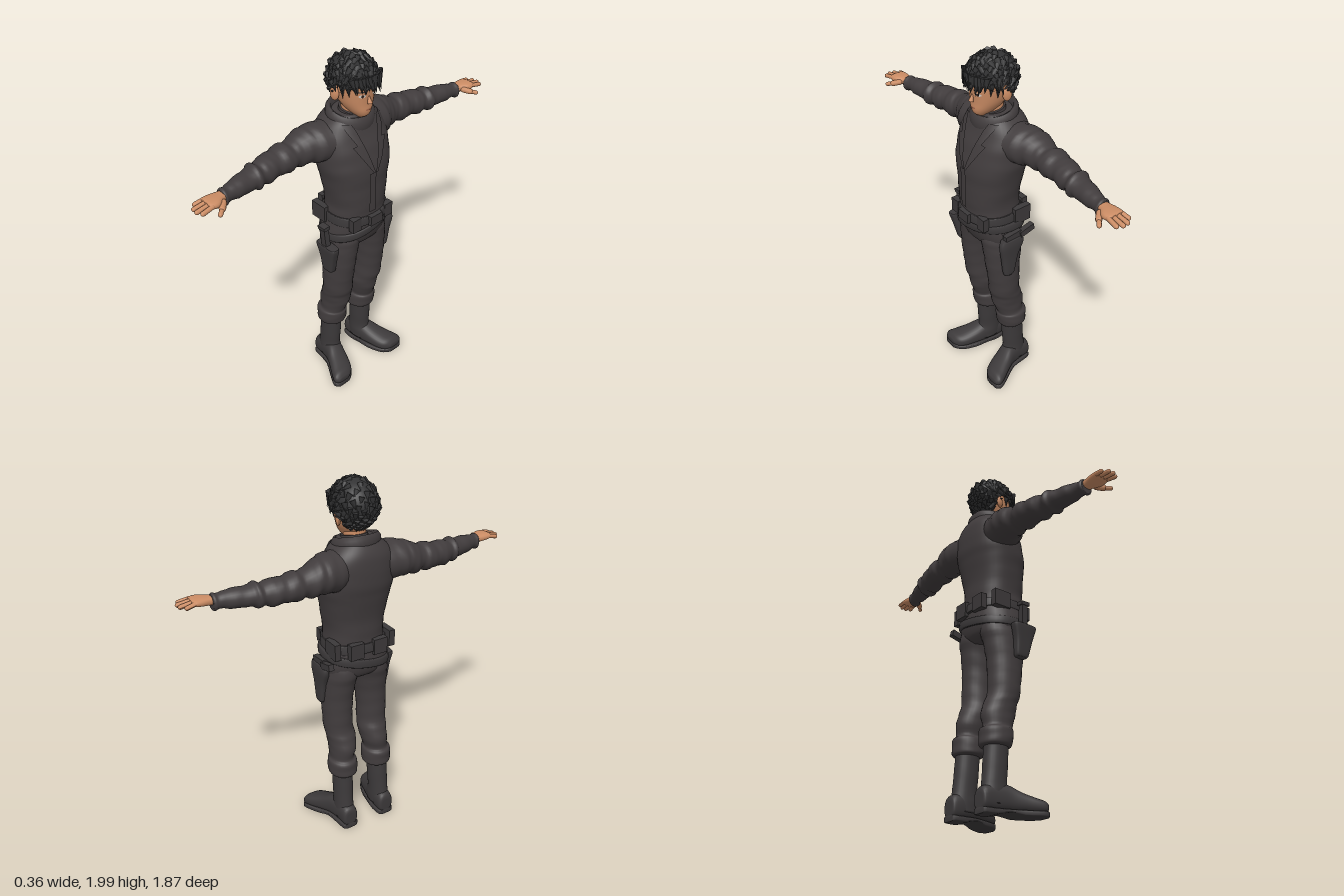
import * as THREE from 'three';
import { mergeGeometries } from 'three/addons/utils/BufferGeometryUtils.js';

const V = (x, y, z) => new THREE.Vector3(x, y, z);
const mat = (name, color) => {
  const m = new THREE.MeshStandardMaterial({ color, side: THREE.DoubleSide });
  m.name = name;
  return m;
};

// Catmull-Rom resampling of cross-section rows
function smooth(rows, steps) {
  const out = [], n = rows.length;
  for (let i = 0; i < n - 1; i++) {
    const [a, b, c, d] = [rows[Math.max(i - 1, 0)], rows[i], rows[i + 1], rows[Math.min(i + 2, n - 1)]];
    for (let s = 0; s < steps; s++) {
      const t = s / steps;
      out.push(b.map((v, k) => v + 0.5 * t * (c[k] - a[k] + t * (2 * a[k] - 5 * v + 4 * c[k] - d[k] + t * (3 * (v - c[k]) + d[k] - a[k])))));
    }
  }
  out.push(rows[n - 1]);
  return out;
}

// Closed body through rows [position, min1, max1, min2, max2] along an axis;
// ranges are (x,z) for y, (x,y) for z, (y,z) for x
function loft(axis, rows, { steps = 4, seg = 28, pow = 2, fold = 0, freq = 60 } = {}) {
  const rings = smooth(rows, steps), pos = [], idx = [];
  const put = (t, p, q) => pos.push(...(axis === 'y' ? [p, t, q] : axis === 'z' ? [p, q, t] : [t, p, q]));
  const sp = v => Math.sign(v) * Math.abs(v) ** (2 / pow);
  for (const [t, p0, p1, q0, q1] of rings) {
    for (let j = 0; j < seg; j++) {
      const a = j / seg * Math.PI * 2;
      const k = 1 + fold * (Math.sin(t * freq + 2 * Math.sin(a)) + 0.6 * Math.sin(t * freq * 1.7 + 3 * Math.cos(a + 1)));
      const [c, s] = axis === 'y' ? [Math.sin(a), Math.cos(a)] : [Math.cos(a), Math.sin(a)];
      put(t, (p0 + p1) / 2 + (p1 - p0) / 2 * sp(c) * k, (q0 + q1) / 2 + (q1 - q0) / 2 * sp(s) * k);
    }
  }
  for (let i = 0; i < rings.length - 1; i++) for (let j = 0; j < seg; j++) {
    const a = i * seg + j, b = i * seg + (j + 1) % seg;
    idx.push(a, b, b + seg, a, b + seg, a + seg);
  }
  const last = (rings.length - 1) * seg, base = pos.length / 3;
  for (const r of [rings[0], rings[rings.length - 1]]) put(r[0], (r[1] + r[2]) / 2, (r[3] + r[4]) / 2);
  for (let j = 0; j < seg; j++) {
    const k = (j + 1) % seg;
    idx.push(base, k, j, base + 1, last + j, last + k);
  }
  const g = new THREE.BufferGeometry();
  g.setAttribute('position', new THREE.Float32BufferAttribute(pos, 3));
  g.setIndex(idx);
  g.computeVertexNormals();
  return g;
}

// Thin panel lying on the forward side of a y loft; outline rows are [y, z0, z1]
function panel(body, outline, off, pow = 2) {
  const b = smooth(body, 4), n = 6, pos = [], idx = [];
  outline.forEach(([y, z0, z1], r) => {
    let i = 0;
    while (i < b.length - 2 && b[i + 1][0] < y) i++;
    const t = (y - b[i][0]) / (b[i + 1][0] - b[i][0]);
    const [, x0, x1, q0, q1] = b[i].map((v, k) => v + (b[i + 1][k] - v) * t);
    for (let j = 0; j <= n; j++) {
      const z = z0 + (z1 - z0) * j / n, u = Math.min(Math.abs(2 * z / (q1 - q0)), 1);
      pos.push((x0 + x1) / 2 + (x1 - x0) / 2 * (1 - u ** pow) ** (1 / pow) + off, y, z);
      const a = r * (n + 1) + j;
      if (r && j) idx.push(a, a - 1, a - n - 2, a, a - n - 2, a - n - 1);
    }
  });
  const g = new THREE.BufferGeometry();
  g.setAttribute('position', new THREE.Float32BufferAttribute(pos, 3));
  g.setIndex(idx);
  g.computeVertexNormals();
  return g;
}

function mirrorZ(geo) {
  const g = geo.clone().scale(1, 1, -1), a = g.index.array;
  for (let i = 0; i < a.length; i += 3) [a[i], a[i + 1]] = [a[i + 1], a[i]];
  g.computeVertexNormals();
  return g;
}

const aim = (g, from, to) => g.applyQuaternion(new THREE.Quaternion().setFromUnitVectors(V(0, 1, 0), to.clone().sub(from).normalize()))
  .translate((from.x + to.x) / 2, (from.y + to.y) / 2, (from.z + to.z) / 2);
const finger = (a, b, r) => aim(new THREE.CapsuleGeometry(r, a.distanceTo(b) - r, 4, 10), a, b);
const lock = (a, b, r) => aim(new THREE.ConeGeometry(r, a.distanceTo(b), 6), a, b);
const box = (w, h, d, x, y, z, rz = 0, rx = 0) => new THREE.BoxGeometry(w, h, d).rotateZ(rz).rotateX(rx).translate(x, y, z);
const skew = (g, kx, kz) => {
  const p = g.attributes.position;
  for (let i = 0; i < p.count; i++) p.setY(i, p.getY(i) + kx * p.getX(i) + kz * p.getZ(i));
  g.computeVertexNormals();
  return g;
};

export function createModel() {
  const model = new THREE.Group();
  const cloth = mat('charcoal cloth', 0x413c3d), leather = mat('dark leather', 0x3c393a);
  const hairMat = mat('black hair', 0x333334), skin = mat('skin', 0xcb8c64);
  const lip = mat('lip', 0xa3644a), white = mat('eye white', 0xd8d0c8), dark = mat('iris', 0x2b1d18);
  const add = (name, geo, m) => {
    const mesh = new THREE.Mesh(geo, m);
    mesh.name = name;
    model.add(mesh);
  };
  const both = (name, geo, m) => {
    add('right' + name, geo, m);
    add('left' + name, mirrorZ(geo), m);
  };

  // Jacket body, lapels and closure
  const torso = [[1.09, -.14, .15, -.163, .163], [1.15, -.135, .152, -.16, .16], [1.2, -.135, .155, -.158, .158],
    [1.3, -.14, .155, -.172, .172], [1.4, -.16, .155, -.192, .192], [1.46, -.17, .145, -.2, .2], [1.53, -.175, .125, -.2, .2],
    [1.6, -.17, .098, -.185, .185], [1.65, -.155, .08, -.15, .15], [1.69, -.13, .06, -.1, .1]];
  add('jacketBody', loft('y', torso, { pow: 2.3, seg: 40, fold: .006, freq: 45 }), cloth);
  both('Lapel', panel(torso, [[1.4, .0, .012], [1.46, .018, .05], [1.52, .035, .085], [1.555, .045, .105], [1.56, .047, .08], [1.62, .065, .11], [1.66, .08, .12]], .013, 2.3), cloth);
  add('frontFlap', panel(torso, [1.17, 1.22, 1.28, 1.34, 1.4].map(y => [y, -.005, .035]), .008, 2.3), cloth);

  // Folded collar, higher at the nape, and inner neck
  const collar = [[.13, 1.61], [.14, 1.645], [.137, 1.675], [.122, 1.697], [.108, 1.692], [.1, 1.66], [.1, 1.61]].map(p => new THREE.Vector2(...p));
  add('collar', skew(new THREE.LatheGeometry(collar, 36).scale(.84, 1, .93).translate(-.022, 0, 0), -.25, 0), cloth);
  add('neckSweater', skew(new THREE.CylinderGeometry(.068, .092, .12, 24).translate(-.005, 1.64, 0), -.2, 0), cloth);
  add('neck', new THREE.CylinderGeometry(.055, .058, .1, 20).translate(-.01, 1.7, 0), skin);

  // Sleeves with gathered folds
  both('Sleeve', loft('z', [[.1, -.15, .07, 1.44, 1.655], [.2, -.17, .05, 1.45, 1.65], [.25, -.17, .02, 1.46, 1.64],
    [.3, -.165, 0, 1.455, 1.622], [.34, -.15, -.008, 1.465, 1.6], [.38, -.16, .002, 1.455, 1.605], [.44, -.148, -.008, 1.463, 1.59],
    [.5, -.14, .002, 1.453, 1.59], [.54, -.122, -.002, 1.465, 1.575], [.57, -.128, .018, 1.458, 1.588], [.6, -.108, .008, 1.47, 1.573],
    [.68, -.085, .014, 1.473, 1.57], [.74, -.062, .012, 1.483, 1.558], [.765, -.062, .022, 1.475, 1.562], [.775, -.055, .016, 1.482, 1.555]],
  { fold: .022, freq: 95, steps: 5 }), cloth);

  // Hands
  const hand = [loft('z', [[.74, -.045, .01, 1.5, 1.55], [.78, -.045, .018, 1.507, 1.55], [.82, -.05, .045, 1.51, 1.553], [.855, -.05, .046, 1.516, 1.552], [.868, -.044, .04, 1.522, 1.546]], { pow: 2.5, seg: 20 })];
  [[-.038, .903], [-.013, .925], [.012, .928], [.036, .915]].forEach(([x, z]) =>
    hand.push(finger(V(x, 1.536, .85), V(x * 1.15, 1.525, z), .0115)));
  hand.push(finger(V(.022, 1.527, .79), V(.06, 1.515, .825), .016), finger(V(.055, 1.517, .82), V(.08, 1.508, .85), .0115));
  both('Hand', mergeGeometries(hand.map(g => { g.deleteAttribute('uv'); return g; })), skin);

  // Trousers
  add('hips', loft('y', [[.93, -.09, .085, -.1, .1], [.96, -.125, .115, -.175, .175], [1.02, -.142, .138, -.187, .187], [1.08, -.14, .15, -.175, .175], [1.12, -.135, .148, -.165, .165]], { pow: 2.3 }), cloth);
  both('TrouserLeg', loft('y', [[.335, -.135, .005, .045, .175], [.345, -.15, .015, .03, .19], [.38, -.15, .025, .03, .192], [.42, -.148, .03, .032, .19],
    [.44, -.132, .025, .045, .176], [.5, -.137, .05, .03, .176], [.56, -.12, .06, .022, .18], [.61, -.1, .075, .026, .187], [.7, -.098, .086, .028, .19],
    [.8, -.1, .1, .022, .19], [.9, -.115, .11, .008, .19], [.97, -.13, .118, -.005, .185], [1.02, -.12, .11, .01, .17]], { fold: .012, freq: 70 }), cloth);

  // Boots, toes turned out
  both('BootShaft', loft('y', [[.05, -.158, .01, .068, .172], [.1, -.157, .005, .065, .172], [.15, -.147, -.012, .066, .17], [.25, -.138, -.005, .062, .17], [.36, -.13, 0, .06, .17]], { fold: .006 }), leather);
  const foot = [[-.172, .03, .1, .09, .15], [-.16, .012, .13, .075, .165], [-.1, .01, .15, .07, .172], [-.03, .015, .152, .075, .188],
    [.03, .015, .122, .09, .217], [.09, .012, .098, .11, .25], [.13, .014, .084, .135, .264], [.152, .03, .06, .17, .245]];
  both('BootFoot', loft('x', foot, { pow: 2.4 }), leather);
  both('BootSole', loft('x', foot.map(([x, , , a, b]) => [x, x > -.06 && x < .02 ? .013 : 0, .03, a - .003, b + .003]), { pow: 5, steps: 2 }), leather);

  // Belt, slung strap, buckle and pouches
  add('belt', loft('y', [[1.095, -.146, .16, -.17, .17], [1.1, -.15, .164, -.173, .173], [1.14, -.146, .163, -.17, .17], [1.145, -.142, .158, -.166, .166]], { pow: 2.3, seg: 40, steps: 2 }), leather);
  add('slungStrap', skew(loft('y', [[1.02, -.148, .148, -.186, .186], [1.025, -.155, .155, -.192, .192], [1.06, -.155, .158, -.19, .19], [1.065, -.148, .15, -.182, .182]], { pow: 2.3, seg: 40, steps: 2 }), .08, -.18), leather);
  add('buckle', box(.02, .055, .08, .17, 1.12, .0), leather);
  for (const s of [-1, 1]) {
    add('hipPouch', box(.1, .09, .035, -.07, 1.125, s * .165, 0, 0), leather);
    add('frontPouch', box(.035, .075, .055, .135, 1.115, s * .11), leather);
    add('backPouch', box(.035, .085, .08, -.14, 1.12, s * .07), leather);
  }

  // Right holster with upright grip
  add('rightHolster', loft('y', [[.805, .0, .06, .185, .218], [.82, -.008, .07, .182, .225], [.9, -.015, .09, .185, .235], [.97, -.032, .11, .187, .245], [.985, -.03, .108, .19, .242]], { pow: 4 }), leather);
  add('rightGrip', box(.036, .13, .03, .03, 1.04, .225, .03, .08), leather);
  add('rightGripCap', box(.052, .02, .038, .028, 1.1, .23, .03, .08), leather);

  // Left holster with grip pointing back
  add('leftHolster', loft('y', [[.78, .0, .05, -.205, -.175], [.8, -.01, .06, -.21, -.172], [.9, -.03, .075, -.215, -.17], [.98, -.06, .09, -.222, -.172], [1.02, -.05, .08, -.218, -.172]], { pow: 3 }), leather);
  add('leftGunFrame', box(.1, .045, .03, .01, 1.03, -.197, -.1), leather);
  add('leftGrip', box(.09, .035, .03, -.075, 1.04, -.205, -.25), leather);

  // Head and face
  const head = [[1.676, .02, .078, -.025, .025], [1.69, -.01, .097, -.038, .038], [1.715, -.05, .106, -.058, .058], [1.75, -.08, .106, -.077, .077],
    [1.79, -.1, .109, -.088, .088], [1.83, -.11, .113, -.093, .093], [1.88, -.11, .113, -.095, .095], [1.93, -.09, .09, -.075, .075], [1.95, -.05, .05, -.04, .04]];
  add('head', loft('y', head, { pow: 2.2 }), skin);
  add('nose', new THREE.ConeGeometry(.013, .05, 10).rotateZ(.28).translate(.11, 1.785, 0), skin);
  add('mouth', panel(head, [[1.722, -.012, .012], [1.726, -.02, .02], [1.73, -.013, .013]], .003, 2.2), lip);
  both('Ear', new THREE.SphereGeometry(1, 14, 10).scale(.024, .036, .013).rotateY(.35).translate(-.022, 1.795, .1), skin);
  both('EyeWhite', panel(head, [[1.796, .03, .045], [1.801, .022, .053], [1.807, .022, .054], [1.811, .03, .048]], .002, 2.2), white);
  both('Iris', panel(head, [[1.796, .035, .041], [1.803, .031, .045], [1.811, .034, .042]], .004, 2.2), dark);
  both('Brow', panel(head, [[1.823, .018, .055], [1.83, .02, .06]], .004, 2.2), hairMat);

  // Hair cap: short over the brow, long at the nape
  const C = V(-.008, 1.852, 0), R = V(.132, .125, .114);
  const limit = c => .5 + .36 * THREE.MathUtils.smoothstep(-c, -.05, .6);
  const onHair = (phi, f) => {
    const t = f * limit(Math.cos(phi)) * Math.PI;
    return V(Math.sin(t) * Math.cos(phi), Math.cos(t), Math.sin(t) * Math.sin(phi));
  };
  const cap = new THREE.SphereGeometry(1, 36, 18, 0, Math.PI * 2, 0, Math.PI * .999);
  const cp = cap.attributes.position;
  for (let i = 0; i < cp.count; i++) {
    const d = onHair(Math.atan2(cp.getZ(i), cp.getX(i)), Math.acos(THREE.MathUtils.clamp(cp.getY(i), -1, 1)) / Math.PI).multiply(R).add(C);
    cp.setXYZ(i, d.x, d.y, d.z);
  }
  cap.computeVertexNormals();
  add('hairCap', cap, hairMat);

  // Tousled locks spread by golden angle, plus fringe
  let seed = 7;
  const rnd = () => (seed = (seed * 16807) % 2147483647) / 2147483647;
  const locks = [];
  for (let i = 0; i < 170; i++) {
    const phi = i * 2.39996, f = .08 + .9 * Math.sqrt(i / 170);
    const n = onHair(phi, f), a = n.clone().multiply(R).add(C);
    const flow = onHair(phi + rnd() - .5, Math.min(f + .35, 1.1)).sub(n).normalize();
    const d = flow.multiplyScalar(.04 + .012 * rnd()).addScaledVector(n, .008 + .012 * rnd());
    locks.push(lock(a.clone().addScaledVector(d, -.35).addScaledVector(n, -.004), a.add(d), .013 + .007 * rnd()));
  }
  for (let i = 0; i < 13; i++) {
    const z = -.085 + i * .0142, x = .122 - 4.5 * z * z;
    locks.push(lock(V(x - .005, 1.9, z), V(x + .012 + .008 * rnd(), 1.835 - .02 * rnd() - (z < -.02 && z > -.06 ? .02 : 0), z + .02 * (rnd() - .6)), .02));
  }
  for (const s of [-1, 1]) locks.push(lock(V(.03, 1.86, s * .1), V(.03, 1.785, s * .094), .018), lock(V(.06, 1.87, s * .09), V(.066, 1.8, s * .086), .018));
  add('hairLocks', mergeGeometries(locks), hairMat);

  return model;
}
